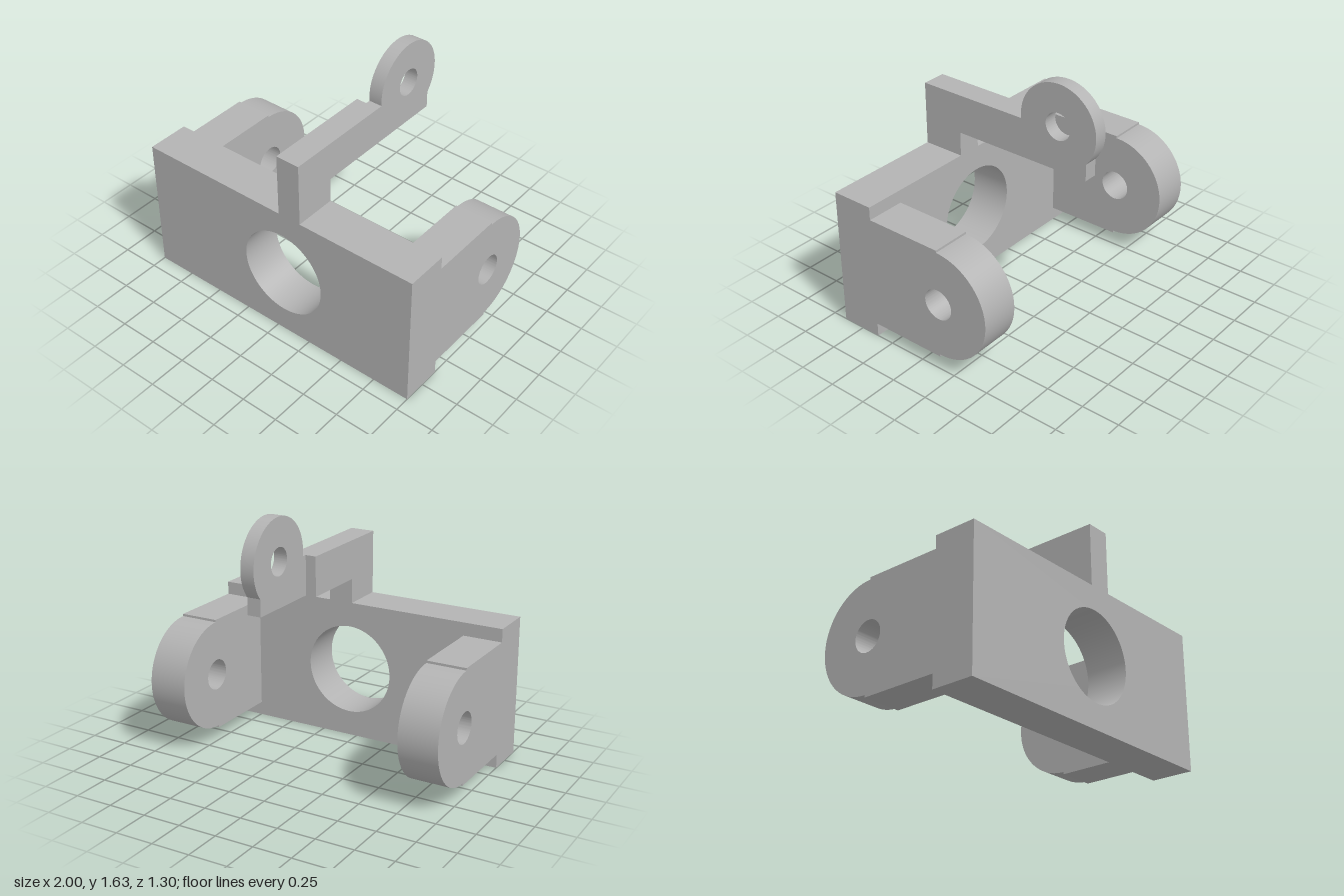
import * as THREE from 'three';
import { toCreasedNormals } from 'three/addons/utils/BufferGeometryUtils.js';

const castGrey = new THREE.MeshStandardMaterial({ color: 0xb3b3b3 });
castGrey.name = 'castGrey';

// Closed outline from straight points
function outline(points) {
  return new THREE.Shape(points.map(([u, v]) => new THREE.Vector2(u, v)));
}

function addHole(shape, u, v, radius) {
  shape.holes.push(new THREE.Path().absarc(u, v, radius, 0, Math.PI * 2, true));
}

function extrude(shape, depth) {
  const geometry = new THREE.ExtrudeGeometry(shape, { depth, bevelEnabled: false, curveSegments: 48 });
  return toCreasedNormals(geometry, 0.5);
}

function part(name, geometry) {
  const mesh = new THREE.Mesh(geometry, castGrey);
  mesh.name = name;
  return mesh;
}

// Side profile drawn as (-z, y), thickened along x from x0 to x1
function sidePart(name, shape, x0, x1) {
  return part(name, extrude(shape, x1 - x0).rotateY(Math.PI / 2).translate(x0, 0, 0));
}

export function createModel() {
  const model = new THREE.Group();
  model.name = 'hingeBracket';

  // Front plate with the large bore
  const plate = outline([[-1, 0], [1, 0], [1, 0.915], [-1, 0.915]]);
  addHole(plate, 0.055, 0.46, 0.295);
  model.add(part('frontPlate', extrude(plate, 0.28).translate(0, 0, 0.37)));

  // Pair of rounded lugs with small shoulders and a pin hole
  const lug = new THREE.Shape();
  lug.moveTo(-0.37, 0.09);
  lug.lineTo(0.145, 0.09);
  lug.lineTo(0.145, 0.105);
  lug.absarc(0.145, 0.46, 0.355, -Math.PI / 2, Math.PI / 2, false);
  lug.lineTo(0.145, 0.83);
  lug.lineTo(-0.37, 0.83);
  addHole(lug, 0.145, 0.46, 0.1);
  model.add(sidePart('leftLug', lug, 0.745, 1));
  model.add(sidePart('rightLug', lug, -1, -0.745));

  // Post and thick part of the arm
  const arm = outline([
    [-0.65, 0.915], [-0.37, 0.915], [-0.37, 1.075], [0.08, 1.075], [0.08, 1.33], [-0.65, 1.33],
  ]);
  model.add(sidePart('arm', arm, 0.04, 0.2));

  // Thin arm end with its round eye
  const cu = 0.38, cv = 1.36, r = 0.27, end = 0.585;
  const startAngle = -Math.acos((end - cu) / r);
  const endAngle = Math.PI + Math.asin((cv - 1.33) / r);
  const eye = new THREE.Shape();
  eye.moveTo(0.08, 1.075);
  eye.lineTo(end, 1.075);
  eye.absarc(cu, cv, r, startAngle, endAngle, false);
  eye.lineTo(0.08, 1.33);
  addHole(eye, cu, cv, 0.088);
  model.add(sidePart('armEye', eye, 0.11, 0.2));

  return model;
}
